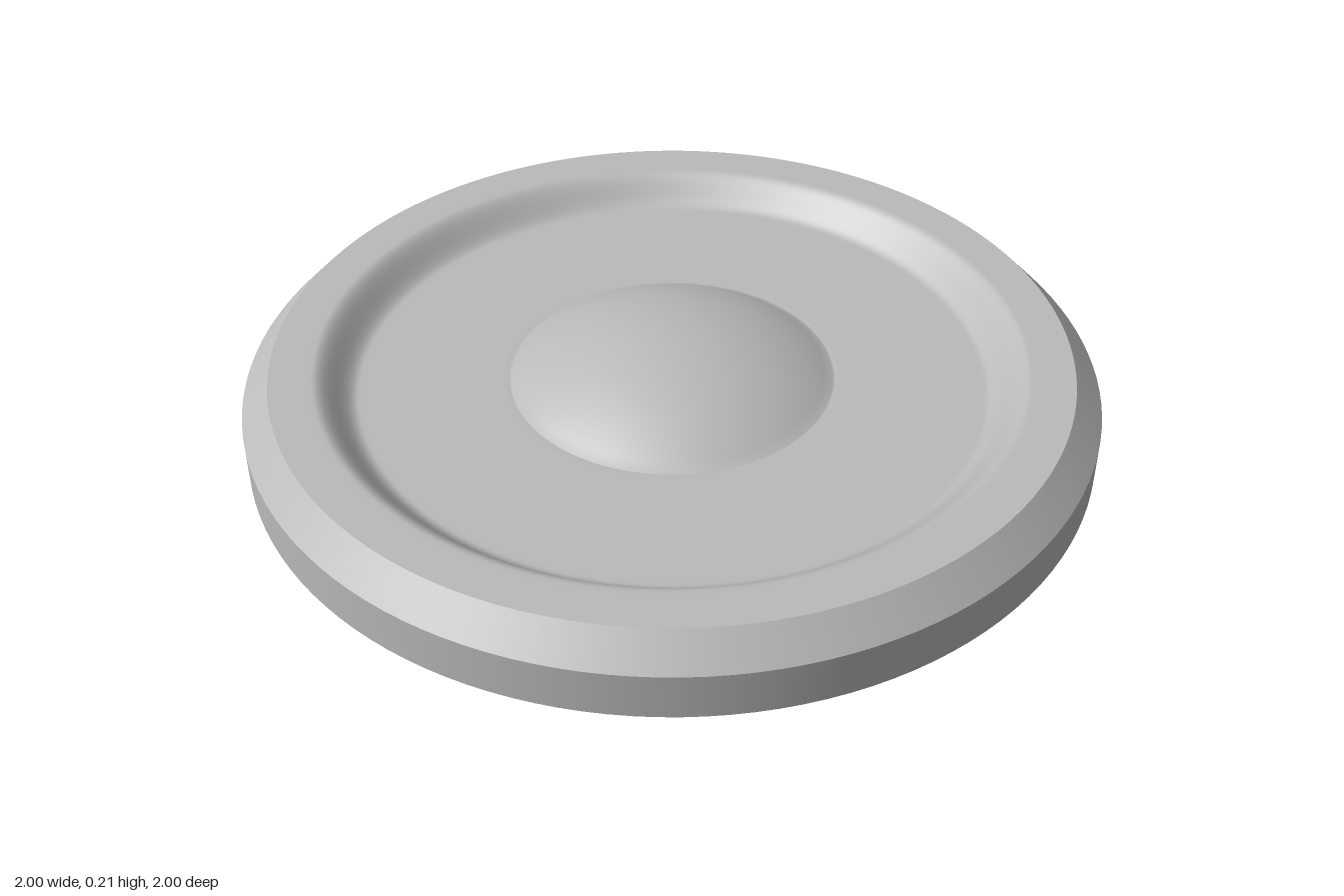
import * as THREE from 'three';

const SEGMENTS = 128;

export function createModel() {
  const group = new THREE.Group();
  const gray = new THREE.MeshStandardMaterial({ color: 0xbababa });
  gray.name = 'plain gray';

  // Each smooth band is its own lathe, so the edges between bands stay sharp
  const band = (name, points) => {
    const profile = points.map(([r, y]) => new THREE.Vector2(r, y));
    const mesh = new THREE.Mesh(new THREE.LatheGeometry(profile, SEGMENTS), gray);
    mesh.name = name;
    group.add(mesh);
  };

  const floorY = 0.107, rimY = 0.178;
  band('underside', [[0, 0], [1, 0]]);
  band('outerWall', [[1, 0], [1, 0.11]]);
  band('bevel', [[1, 0.11], [0.935, rimY]]);

  // Flat rim, then an S-curved step down to the recessed floor
  const top = [[0.935, rimY], [0.85, rimY]];
  const steps = 16;
  for (let i = 0; i <= steps; i++) {
    const t = i / steps;
    const s = t * t * (3 - 2 * t);
    top.push([0.835 - 0.1 * t, rimY + (floorY - rimY) * s]);
  }
  top.push([0.72, floorY], [0.4, floorY], [0.385, floorY]);

  // Central dome: a shallow spherical cap
  const R = 0.72, peak = 0.214, edge = Math.asin(0.38 / R);
  for (let i = 0; i <= steps; i++) {
    const a = edge * (1 - i / steps);
    top.push([R * Math.sin(a), peak - R * (1 - Math.cos(a))]);
  }
  band('dishedTopWithDome', top);

  return group;
}
